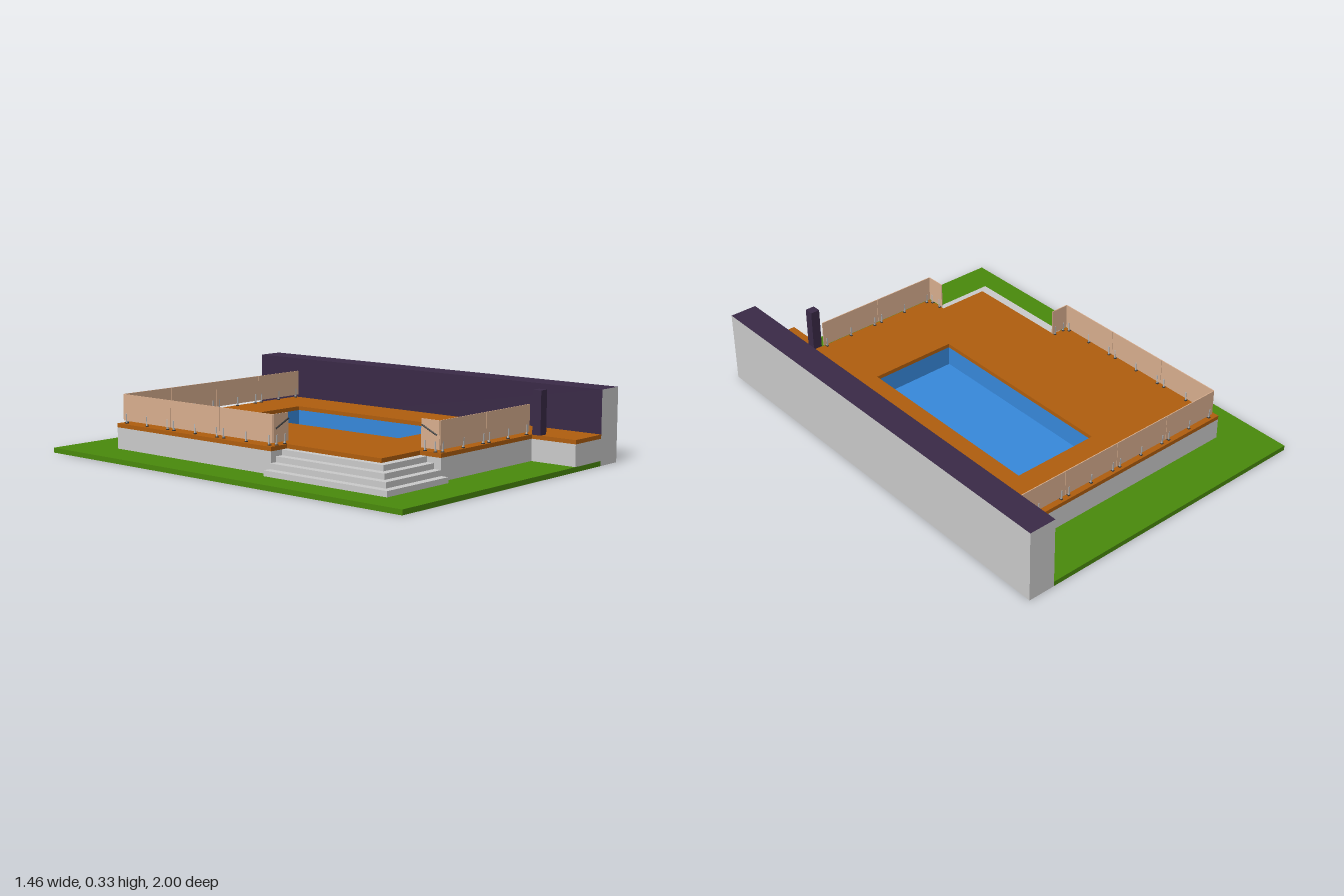
import * as THREE from 'three';

const mat = (color, opts = {}) => new THREE.MeshStandardMaterial({ color, ...opts });

export function createModel() {
  const root = new THREE.Group();
  root.name = 'poolTerrace';

  const grey = mat(0xcccccc), green = mat(0x4a8a0c), wood = mat(0xb05e0e);
  const blue = mat(0x3789dc), purple = mat(0x3a2a47), glass = mat(0xd9af8f);
  const metal = mat(0x3c3c3c), steel = mat(0xb8b8b8);

  const add = (name, geometry, material, parent = root) => {
    const mesh = new THREE.Mesh(geometry, material);
    mesh.name = name;
    parent.add(mesh);
    return mesh;
  };
  // Box from its minimum and maximum corners
  const box = (name, x0, x1, y0, y1, z0, z1, material, parent) => {
    const g = new THREE.BoxGeometry(x1 - x0, y1 - y0, z1 - z0);
    g.translate((x0 + x1) / 2, (y0 + y1) / 2, (z0 + z1) / 2);
    return add(name, g, material, parent);
  };
  // Flat slab from an (x, z) outline with an optional hole
  const toPoints = (list) => list.map(([x, z]) => new THREE.Vector2(x, z));
  const slab = (name, outline, hole, y0, y1, material, parent) => {
    const shape = new THREE.Shape(toPoints(outline));
    if (hole) shape.holes.push(new THREE.Path(toPoints(hole)));
    const g = new THREE.ExtrudeGeometry(shape, { depth: y1 - y0, bevelEnabled: false });
    g.rotateX(Math.PI / 2).translate(0, y1, 0);
    return add(name, g, material, parent);
  };
  const rect = (x0, x1, z0, z1) => [[x0, z0], [x1, z0], [x1, z1], [x0, z1]];

  // Lawn and boundary wall (purple on the cap and the inner face)
  box('lawn', -0.73, 0.602, 0, 0.022, -1, 1, green);
  box('boundaryWall', 0.602, 0.727, 0, 0.328, -1, 1,
    [grey, purple, purple, grey, grey, grey]);

  // Raised terrace with a notch for the steps and a passage along the wall
  const terrace = [
    [-0.555, -0.768], [0.602, -0.768], [0.602, 1], [0.407, 1], [0.407, 0.78],
    [-0.22, 0.78], [-0.22, 0.675], [-0.46, 0.675], [-0.46, 0.173], [-0.555, 0.173],
  ];
  const pool = rect(-0.043, 0.365, -0.525, 0.42);
  const poolOuter = rect(-0.047, 0.369, -0.529, 0.424);
  slab('terraceBase', terrace, poolOuter, 0.022, 0.118, grey);
  slab('deck', terrace, pool, 0.118, 0.136, wood);

  // Pool lining and floor
  slab('poolWalls', poolOuter, pool, 0.022, 0.118, blue);
  slab('poolFloor', pool, null, 0.022, 0.027, blue);

  // Corner steps
  const steps = new THREE.Group();
  steps.name = 'steps';
  root.add(steps);
  for (let i = 0; i < 4; i++) {
    const x = -0.598 + i * 0.0355, z = 0.818 - i * 0.0355;
    slab('step', [[-0.46, 0.173], [-0.46, 0.675], [-0.22, 0.675], [-0.22, z], [x, z], [x, 0.173]],
      null, 0.022 + i * 0.024, 0.046 + i * 0.024, grey, steps);
  }

  // Gate post
  box('gatePost', 0.405, 0.448, 0.136, 0.328, 0.783, 0.825, purple);

  // Balustrade: each run is split into panels carried on short posts
  const balustrade = new THREE.Group();
  balustrade.name = 'balustrade';
  root.add(balustrade);
  const run = (x0, z0, x1, z1, panels, postsPerPanel) => {
    const group = new THREE.Group();
    group.name = 'balustradeRun';
    const length = Math.hypot(x1 - x0, z1 - z0), w = length / panels;
    for (let i = 0; i < panels; i++) {
      box('panel', i * w + 0.001, (i + 1) * w - 0.001, 0.148, 0.266, -0.002, 0.002, glass, group);
      for (let j = 0; j < postsPerPanel; j++) {
        const x = i * w + 0.02 + (w - 0.04) * j / (postsPerPanel - 1);
        box('panelPost', x - 0.003, x + 0.003, 0.136, 0.18, -0.004, 0.004, steel, group);
        box('postFoot', x - 0.005, x + 0.005, 0.136, 0.14, -0.006, 0.006, metal, group);
      }
    }
    group.position.set(x0, 0, z0);
    group.rotation.y = -Math.atan2(z1 - z0, x1 - x0);
    balustrade.add(group);
  };
  run(-0.533, -0.75, 0.602, -0.75, 4, 3);
  run(-0.533, -0.75, -0.533, 0.163, 3, 3);
  run(-0.533, 0.163, -0.443, 0.163, 1, 2);
  run(-0.213, 0.768, 0.405, 0.768, 2, 3);
  run(-0.213, 0.675, -0.213, 0.768, 1, 2);

  // Sloping handrails beside the steps
  const handrail = (a, b) => add('handrail', new THREE.TubeGeometry(
    new THREE.LineCurve3(new THREE.Vector3(...a), new THREE.Vector3(...b)), 1, 0.0035, 8), metal);
  handrail([-0.525, 0.206, 0.17], [-0.447, 0.242, 0.17]);
  handrail([-0.22, 0.206, 0.76], [-0.22, 0.242, 0.682]);

  return root;
}
